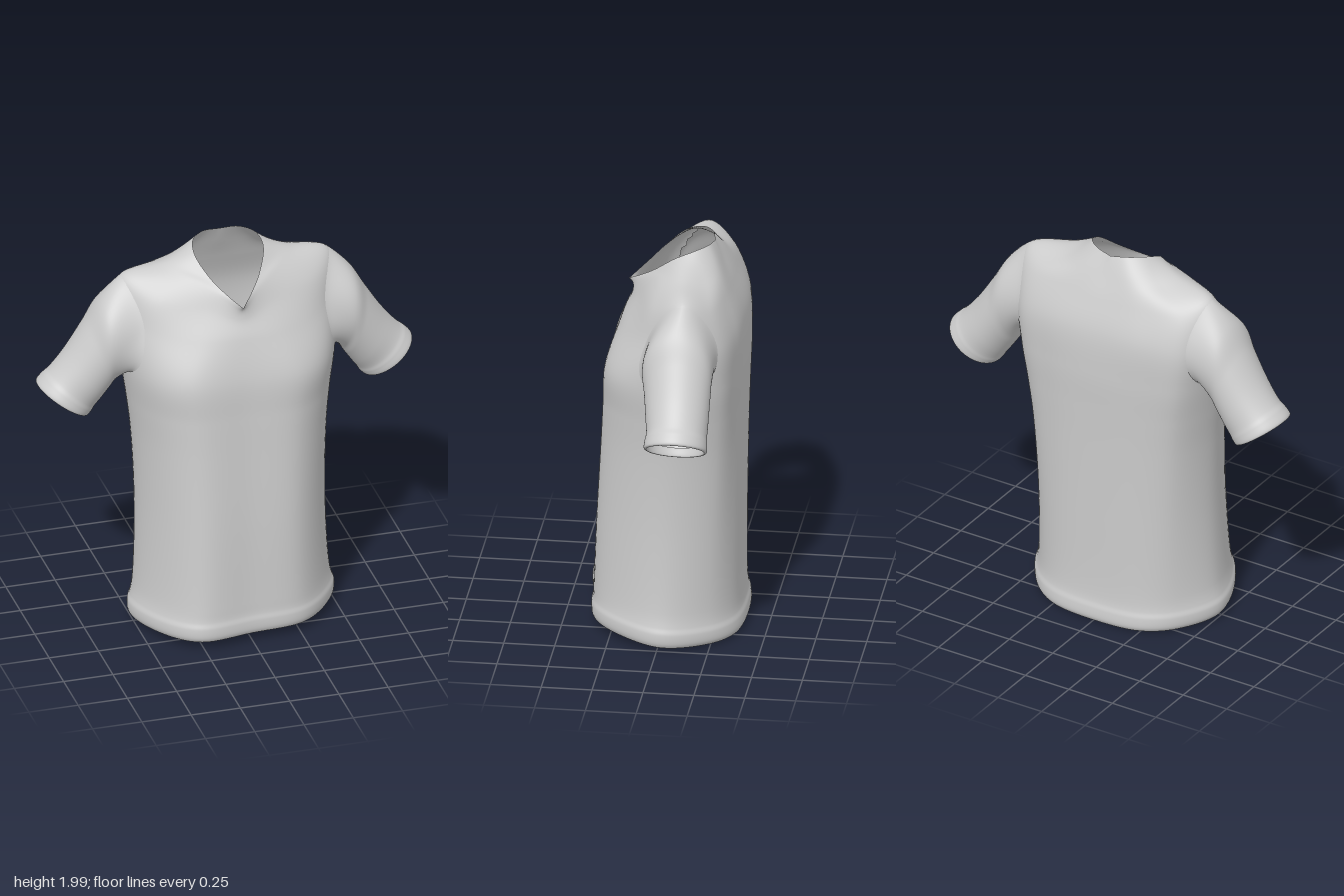
import * as THREE from 'three';

const V = (x, y, z) => new THREE.Vector3(x, y, z);
const cloth = new THREE.MeshStandardMaterial({ color: 0xcccccc, side: THREE.DoubleSide });
const HALF = 48, AROUND = 2 * HALF, ROWS = 150;

// Skin over a grid of points (rows of closed rings); skip(row, column) leaves openings
function skin(grid, skip = () => false) {
  const n = grid[0].length, index = [];
  for (let i = 0; i < grid.length - 1; i++) {
    for (let j = 0; j < n; j++) {
      if (skip(i + 0.5, j + 0.5)) continue;
      const a = i * n + j, b = i * n + (j + 1) % n;
      index.push(a, b, b + n, a, b + n, a + n);
    }
  }
  const g = new THREE.BufferGeometry().setFromPoints(grid.flat());
  g.setIndex(index);
  g.computeVertexNormals();
  return g;
}

// Smooth rows through control rings, beginning at curve parameter t0
function smoothRows(rings, steps, t0 = 0) {
  const columns = rings[0].map((_, j) => new THREE.CatmullRomCurve3(rings.map(r => r[j])));
  return Array.from({ length: steps + 1 }, (_, i) =>
    columns.map(c => c.getPoint(t0 + (1 - t0) * i / steps)));
}

// Ring from seven half points (front centre, round the side, to back centre)
function ring(half, pointed = false) {
  const pts = half.map(p => V(...p));
  if (pointed) {
    const side = new THREE.CatmullRomCurve3(pts).getPoints(HALF);
    const other = side.slice(1, HALF).reverse().map(p => V(-p.x, p.y, p.z));
    return [...side, ...other];
  }
  const mirror = pts.slice(1, 6).reverse().map(p => V(-p.x, p.y, p.z));
  return new THREE.CatmullRomCurve3([...pts, ...mirror], true).getPoints(AROUND).slice(0, AROUND);
}

// Body ring at height y: half width, front depth, back depth.
// The hem hangs askew and the back corners tuck in towards it.
function bodyRing([y, w, f, b]) {
  const low = 1 - y / 1.4;
  const r = ring([
    [0, y, 0.985 * f], [0.52 * w, y, 0.97 * f], [0.83 * w, y, 0.56 * f], [w, y, -0.07 + 0.04 * low],
    [(0.85 - 0.06 * low) * w, y, (0.8 - 0.16 * low) * b],
    [0.5 * w, y, (0.96 - 0.04 * low) * b], [0, y, b],
  ]);
  for (const p of r) {
    p.y += 0.06 * p.z * low;
    p.z -= 0.12 * p.x * low * Math.max(0, p.z) / 0.38;
  }
  return r;
}

function torsoGrid() {
  const body = [
    // inner fold and rolled hem
    [0.10, 0.495, 0.35, -0.36], [0.045, 0.49, 0.35, -0.365], [0.025, 0.502, 0.365, -0.375],
    [0.045, 0.515, 0.377, -0.388], [0.095, 0.517, 0.378, -0.386], [0.13, 0.505, 0.37, -0.376],
    // waist to chest
    [0.20, 0.492, 0.365, -0.37], [0.60, 0.475, 0.343, -0.37], [1.0, 0.487, 0.315, -0.375],
    [1.2, 0.508, 0.302, -0.38], [1.4, 0.535, 0.287, -0.385],
  ].map(bodyRing);
  // upper chest, shoulder line, yoke
  const upper = [
    [[0, 1.6, 0.225], [0.22, 1.6, 0.2], [0.45, 1.62, 0.07], [0.56, 1.66, -0.13],
      [0.47, 1.62, -0.305], [0.27, 1.62, -0.362], [0, 1.62, -0.37]],
    [[0, 1.69, 0.185], [0.17, 1.74, 0.13], [0.41, 1.78, 0.03], [0.53, 1.85, -0.13],
      [0.43, 1.8, -0.255], [0.22, 1.79, -0.305], [0, 1.78, -0.315]],
    [[0, 1.735, 0.18], [0.11, 1.8, 0.12], [0.25, 1.875, 0.01], [0.33, 1.903, -0.1],
      [0.26, 1.895, -0.2], [0.15, 1.9, -0.255], [0, 1.9, -0.26]],
  ].map(h => ring(h));
  // V neckline
  const neck = ring([[0, 1.762, 0.2], [0.062, 1.81, 0.135], [0.122, 1.868, 0.06], [0.173, 1.955, -0.05],
    [0.155, 1.99, -0.14], [0.09, 1.997, -0.2], [0, 1.987, -0.222]], true);
  return smoothRows([...body, ...upper, neck], ROWS);
}

// Armhole: an ellipse in rows and columns of the torso grid
const hole = { row: 117.5, rows: 11.5, cols: 7.5 };
const sideColumn = side => (side > 0 ? AROUND / 4 : AROUND * 3 / 4);
const insideHole = (i, j) => [1, -1].some(s =>
  Math.hypot((i - hole.row) / hole.rows, (j - sideColumn(s)) / hole.cols) < 0.88);

// Point on the torso at fractional row and column
function onTorso(grid, row, col) {
  const i = Math.floor(row), j = Math.floor(col);
  const low = grid[i][j].clone().lerp(grid[i][j + 1], col - j);
  const high = grid[i + 1][j].clone().lerp(grid[i + 1][j + 1], col - j);
  return low.lerp(high, row - i);
}

// Sleeve stations: top x, y; underside x, y; centre z; half depth
const sleeveStations = [
  [0.635, 1.745, 0.575, 1.315, -0.115, 0.172],
  [0.71, 1.62, 0.60, 1.275, -0.122, 0.163],
  [0.81, 1.465, 0.64, 1.215, -0.13, 0.154],
  [0.885, 1.375, 0.668, 1.175, -0.135, 0.149],
  // cuff and its inner fold
  [0.915, 1.35, 0.68, 1.155, -0.135, 0.153],
  [0.947, 1.312, 0.70, 1.135, -0.135, 0.153],
  [0.94, 1.30, 0.712, 1.14, -0.135, 0.142],
  [0.89, 1.345, 0.695, 1.18, -0.135, 0.137],
];

// Sleeve growing out of the armhole, following the slope of the torso there
function sleeve(grid, side) {
  const angles = Array.from({ length: 64 }, (_, j) => (j / 64) * Math.PI * 2);
  const onArmhole = scale => angles.map(t => onTorso(grid,
    hole.row + scale * hole.rows * Math.cos(t),
    sideColumn(side) - scale * hole.cols * Math.sin(t)));
  const stations = sleeveStations.map(([tx, ty, bx, by, cz, hw]) => angles.map(t => {
    const c = Math.cos(t) / 2;
    return V(side * ((tx + bx) / 2 + c * (tx - bx)), (ty + by) / 2 + c * (ty - by),
      cz + side * hw * Math.sin(t));
  }));
  const rings = [onArmhole(1.2), onArmhole(1), ...stations];
  return skin(smoothRows(rings, 80, 1 / (rings.length - 1)));
}

export function createModel() {
  const shirt = new THREE.Group();
  shirt.name = 'shirt';
  const add = (name, geometry) => {
    const m = new THREE.Mesh(geometry, cloth);
    m.name = name;
    shirt.add(m);
  };
  const grid = torsoGrid();
  add('torso', skin(grid, insideHole));
  add('leftSleeve', sleeve(grid, 1));
  add('rightSleeve', sleeve(grid, -1));
  return shirt;
}
